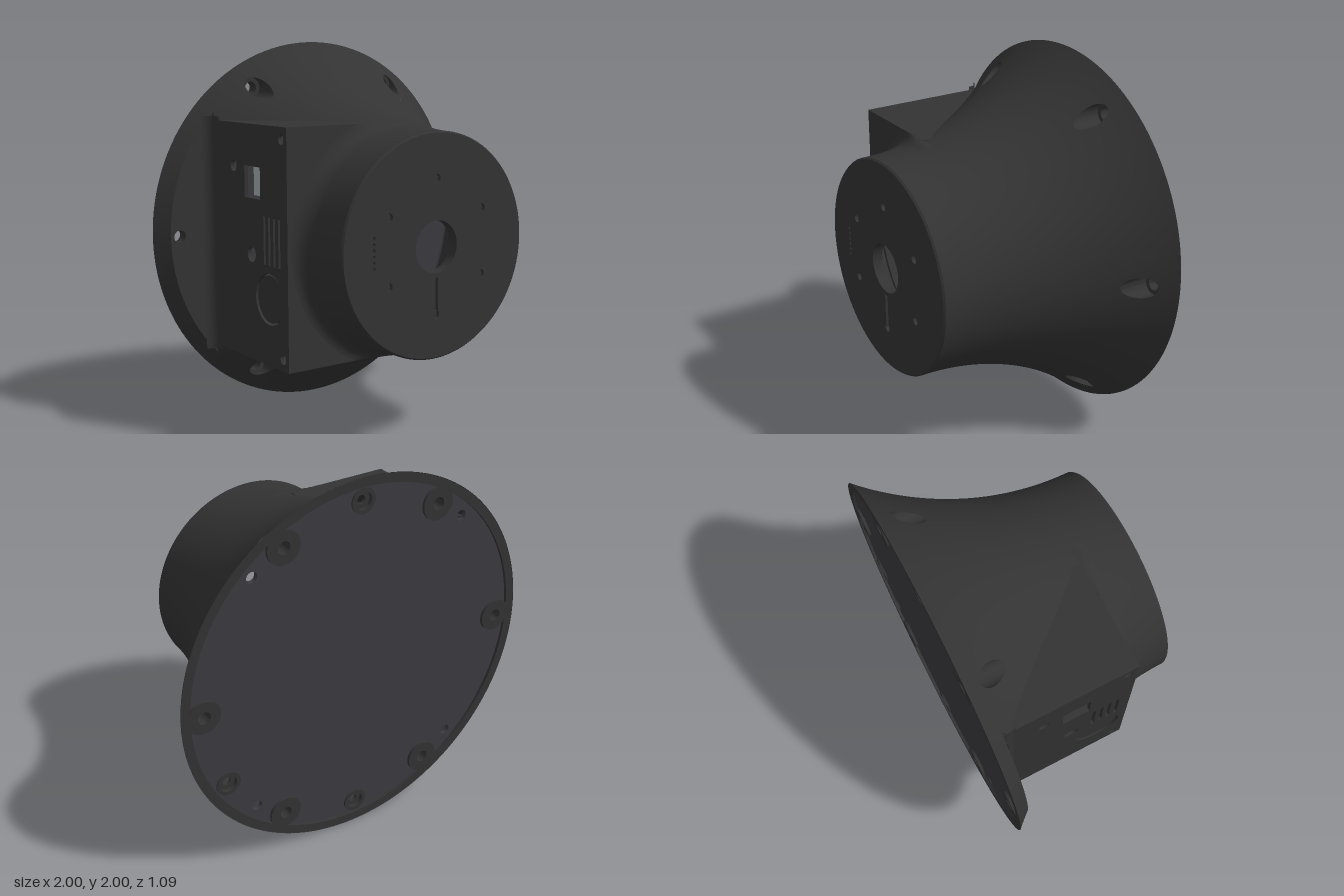
import * as THREE from 'three';
import { mergeGeometries, toCreasedNormals } from 'three/addons/utils/BufferGeometryUtils.js';

const { PI, cos, sin, sqrt, hypot, max, min, abs } = Math;
const dark = new THREE.MeshStandardMaterial({ color: 0x333333, side: THREE.DoubleSide });
const plateMat = new THREE.MeshStandardMaterial({ color: 0x3b3a40, side: THREE.DoubleSide });
const light = new THREE.MeshStandardMaterial({ color: 0xa8b0b3, side: THREE.DoubleSide });

// Flare arc: front radius R0 at z = F, widening to 1 at the back
const R0 = 0.572, F = 0.54, ARC = 1.589, BACK = -0.545;
const FLOOR = -0.47, WALL = -0.68, H = 0.6;
const BOLT_R = 0.877, BORE = 0.055, BOLT = 0.033, SPAN = PI / 18;
const flareR = z => R0 + ARC - sqrt(ARC * ARC - (F - z) ** 2);
const flareZ = r => max(BACK, F - sqrt(max(0, ARC * ARC - (ARC + R0 - r) ** 2)));

// Grid surface from fn(u, v) -> [x, y, z]; skip(corners, i) leaves cells open
function grid(nu, nv, fn, skip = () => false) {
  const pos = [], index = [], pts = [];
  for (let j = 0; j <= nv; j++) for (let i = 0; i <= nu; i++) pts.push(fn(i / nu, j / nv));
  pts.forEach(p => pos.push(...p));
  for (let j = 0; j < nv; j++) for (let i = 0; i < nu; i++) {
    const a = j * (nu + 1) + i, b = a + 1, c = a + nu + 1, d = c + 1;
    if (!skip([pts[a], pts[b], pts[c], pts[d]], i)) index.push(a, c, b, b, c, d);
  }
  const g = new THREE.BufferGeometry();
  g.setAttribute('position', new THREE.Float32BufferAttribute(pos, 3));
  g.setIndex(index);
  return g;
}

function disc(r, x = 0, y = 0, holes = []) {
  const s = new THREE.Shape().absarc(x, y, r, 0, PI * 2);
  s.holes.push(...holes);
  return s;
}
const hole = (x, y, r) => new THREE.Path().absarc(x, y, r, 0, PI * 2, true);
const rect = (x, y, w, h, T = THREE.Path) => new T().setFromPoints(
  [[-1, -1], [1, -1], [1, 1], [-1, 1], [-1, -1]].map(([a, b]) => new THREE.Vector2(x + a * w / 2, y + b * h / 2)));
const slab = (shape, z0, z1) => toCreasedNormals(
  new THREE.ExtrudeGeometry(shape, { depth: z1 - z0, bevelEnabled: false, curveSegments: 48 }).translate(0, 0, z0), 0.5);

export function createModel() {
  const group = new THREE.Group();
  group.position.y = 1;
  const add = (name, geo, mat = dark) => {
    const m = new THREE.Mesh(geo, mat);
    m.name = name;
    group.add(m);
    return m;
  };
  const bolts = [0, 1, 2, 3, 4, 5].map(k => k * PI / 3);
  const boltXY = bolts.map(a => [BOLT_R * cos(a), BOLT_R * sin(a)]);

  // Flared shell: bands of the arc, cut flat at WALL, open inside the side housing and at the bores
  const N = 180, zA = flareZ(0.795), zB = -0.5, rB = flareR(zB);
  const band = (z0, z1, clip) => (u, v) => {
    const z = z0 + (z1 - z0) * v, r = flareR(z), x = r * cos(u * PI * 2);
    return [clip ? max(x, WALL) : x, r * sin(u * PI * 2), z];
  };
  const inHousing = c => c.every(p => p[0] < -0.02 && abs(p[1]) < 0.585 && p[2] < 0.22);
  const atBore = i => {
    const k = Math.round((i + 0.5) / 30);
    return k !== 3 && abs(i + 0.5 - k * 30) < 5;
  };
  const parts = [
    grid(N, 26, band(0.535, zA, true), inHousing),
    grid(N, 10, band(zA, FLOOR, true), (c, i) => atBore(i) || inHousing(c)),
    grid(N, 1, band(FLOOR, zB, false), (c, i) => atBore(i)),
    grid(N, 3, band(zB, BACK, false)),
    grid(N, 1, (u, v) => {
      const r = R0 - 0.008 * (1 - v);
      return [r * cos(u * PI * 2), r * sin(u * PI * 2), 0.545 - 0.01 * v];
    }),
  ];
  // Bored patches: circle blended out to the opening left in the bands
  bolts.forEach((ang, k) => {
    if (k === 3) return;
    parts.push(grid(48, 8, (u, v) => {
      const f = u * PI * 2, c = cos(f), s = sin(f), m = max(abs(c), abs(s));
      const p = c / m, r = BOLT_R + p * (p > 0 ? rB - BOLT_R : BOLT_R - 0.795), t = s / m * SPAN;
      const w = max(0, (v * 8 - 1) / 7);
      const x = (BOLT_R + BORE * c) * (1 - w) + r * cos(t) * w;
      const y = BORE * s * (1 - w) + r * sin(t) * w;
      const z = v === 0 ? -0.48 : flareZ(hypot(x, y));
      return [x * cos(ang) - y * sin(ang), x * sin(ang) + y * cos(ang), z];
    }));
  });
  add('flaredShell', toCreasedNormals(mergeGeometries(parts), 0.5));

  // Bolt seats and rear tabs
  boltXY.forEach(([x, y]) => {
    add('boltSeat', slab(disc(BORE + 0.003, x, y, [hole(x, y, BOLT)]), -0.53, -0.48));
    add('boltTab', slab(disc(0.088, x, y, [hole(x, y, BOLT)]), BACK, -0.52));
  });

  // Flat ledge beside the housing
  const ledge = new THREE.Shape().absarc(0, 0, flareR(FLOOR), PI - 0.755, PI + 0.755);
  ledge.holes.push(hole(boltXY[3][0], 0, BORE));
  add('sideLedge', new THREE.ShapeGeometry(ledge, 48).translate(0, 0, FLOOR));
  add('ledgeFillet', toCreasedNormals(grid(1, 8, (u, v) => {
    const a = v * PI / 2;
    return [WALL - 0.06 * (1 - cos(a)), 0.62 - 1.24 * u, -0.4 - 0.069 * sin(a)];
  }), 0.6));

  // Side housing: top and bottom walls, front wall, fillet to the barrel
  for (const s of [1, -1])
    add(s > 0 ? 'housingTop' : 'housingBottom',
      new THREE.BoxGeometry(0.58, 0.03, 0.7).translate(-0.39, s * (H - 0.015), -0.1));
  const front = new THREE.Shape();
  front.moveTo(WALL, -H).lineTo(-0.1, -H).lineTo(-0.1, -0.57);
  front.absarc(0, 0, 0.579, 1.5 * PI - 0.174, 0.5 * PI + 0.174, true);
  front.lineTo(-0.1, H).lineTo(WALL, H);
  add('housingFront', slab(front, 0.22, 0.25));
  add('housingFillet', toCreasedNormals(grid(72, 8, (u, v) => {
    const t = PI / 2 + PI * u, a = v * PI / 2, r = 0.582 + 0.08 * (1 - cos(a));
    return [max(WALL, r * cos(t)), max(-H, min(H, r * sin(t))), 0.36 - 0.109 * sin(a)];
  }), 0.7));

  // Connector panel, drawn in (z, y) and turned to face -x
  const panel = rect(-0.11, 0, 0.72, 2 * H, THREE.Shape);
  panel.holes.push(rect(-0.07, 0.31, 0.15, 0.16), hole(-0.085, -0.055, 0.04), hole(-0.25, 0.38, 0.03),
    hole(0.08, -0.26, 0.13));
  for (let i = 0; i < 4; i++) panel.holes.push(rect(0.04 + i * 0.045, 0.03, 0.018, 0.24));
  for (const y of [0.54, -0.54]) panel.holes.push(hole(0.2, y, 0.025));
  add('connectorPanel', slab(panel, 0, 0.022).rotateY(-PI / 2).translate(-0.66, 0, 0));
  add('roundSocket', new THREE.CylinderGeometry(0.12, 0.12, 0.02, 40).rotateZ(PI / 2).translate(-0.665, -0.26, 0.08));
  add('squareSocket', new THREE.BoxGeometry(0.02, 0.15, 0.14).translate(-0.62, 0.31, -0.07), light);

  // Front face with centre opening, screw holes, cable slot and vents
  const face = disc(R0 - 0.008, 0, 0, [hole(0, 0, 0.132), rect(0, -0.24, 0.026, 0.17), hole(0, -0.345, 0.022), hole(0, 0.34, 0.022)]);
  for (const x of [-0.295, 0.295]) for (const y of [-0.17, 0.17]) face.holes.push(hole(x, y, 0.022));
  for (let i = 0; i < 6; i++) face.holes.push(rect(-0.385, -0.07 + i * 0.03, 0.014, 0.014));
  add('frontFace', slab(face, 0.505, 0.545));
  add('frontBacking', slab(disc(0.56, 0, 0, [hole(0, 0, 0.132)]), 0.49, 0.525));

  // Rear rim, recessed cover plate, screw cups and inner reflector
  add('rearRim', slab(disc(0.998, 0, 0, [hole(0, 0, 0.95)]), BACK, BACK + 0.003));
  add('rimWall', new THREE.CylinderGeometry(0.95, 0.95, 0.04, 96, 1, true).rotateX(PI / 2).translate(0, 0, BACK + 0.02));
  const screws = [PI / 2, -PI / 2, -PI / 6].map(a => [0.877 * cos(a), 0.877 * sin(a)]);
  const cover = disc(0.95, 0, 0, [...boltXY.map(([x, y]) => hole(x, y, 0.05)), ...screws.map(([x, y]) => hole(x, y, 0.05))]);
  for (const x of [-0.6, 0.6]) for (const y of [-0.65, 0.65]) cover.holes.push(hole(x, y, 0.028));
  add('rearCover', slab(cover, -0.53, -0.505), plateMat);
  screws.forEach(([x, y]) => {
    add('screwCup', slab(disc(0.066, x, y, [hole(x, y, 0.045)]), -0.538, -0.5));
    add('screwSeat', slab(disc(0.05, x, y, [hole(x, y, 0.022)]), -0.515, -0.5));
  });
  add('innerReflector', new THREE.CircleGeometry(0.5, 48, -0.75 * PI, PI).translate(0, 0, -0.49), light);
  return group;
}
